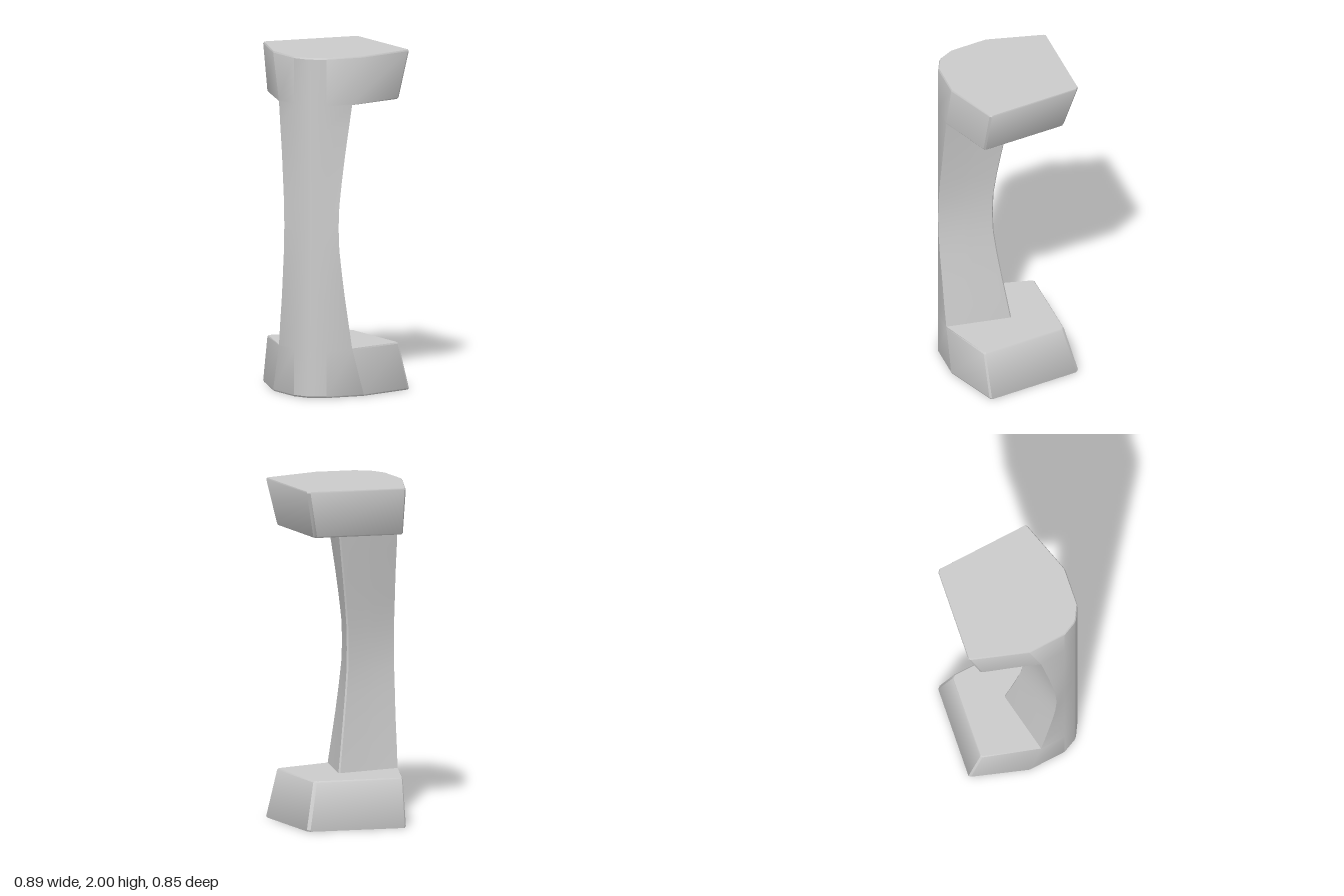
import * as THREE from 'three';
import { toCreasedNormals } from 'three/addons/utils/BufferGeometryUtils.js';

// Full outline (x, z) from its +x half, running front to back
const mirror = half => [...half, ...half.map(([x, z]) => [-x, z]).reverse()];
const mix = (a, b, t) => a + (b - a) * t;
const front = [[0.012, 0.426], [0.1, 0.4]];

// Block outline: t = 0 at the outer end, t = 1 at the inner ledge
const block = t => mirror([
  ...front,
  [mix(0.28, 0.225, t), mix(0.25, 0.302, t)],
  [mix(0.446, 0.399, t), mix(-0.05, 0.006, t)],
  [mix(0.447, 0.4, t), mix(-0.066, -0.008, t)],
  [0.012, mix(-0.428, -0.336, t)],
]);

// Column outline: curved front with a V-shaped back
const column = (x, z, apex) => {
  const along = t => [mix(x, 0.006, t), mix(z, apex, t)];
  return mirror([...front, [x, z], along(0.45), along(0.55), along(1)]);
};

// Lower half of the sections, from the base to mid-height
const shrink = pts => pts.map(([x, z]) => [x * 0.985, z * 0.985]);
const lower = [
  [0, shrink(block(0))],
  [0.009, block(0.03)],
  [0.276, block(0.97)],
  [0.284, shrink(block(1)).map((p, i) => (i > 2 && i < 9 ? p : block(1)[i]))],
  [0.284, column(0.225, 0.302, -0.012)],
  [0.42, column(0.211, 0.32, 0.015)],
  [0.58, column(0.194, 0.339, 0.047)],
  [0.73, column(0.181, 0.357, 0.075)],
  [0.87, column(0.17, 0.37, 0.096)],
  [1, column(0.167, 0.375, 0.101)],
];

// Skin the sections and close both ends
function loft(sections) {
  const pos = [];
  const tri = (...pts) => {
    const [a, b, c] = pts.map(p => new THREE.Vector3(...p));
    if (new THREE.Triangle(a, b, c).getArea() > 1e-9) pos.push(...pts.flat());
  };
  const rings = sections.map(([y, pts]) => pts.map(([x, z]) => [x, y, z]));
  const n = rings[0].length;
  for (let r = 0; r < rings.length - 1; r++) {
    const lo = rings[r], hi = rings[r + 1];
    for (let i = 0; i < n; i++) {
      const j = (i + 1) % n;
      tri(lo[i], lo[j], hi[j]);
      tri(lo[i], hi[j], hi[i]);
    }
  }
  const bottom = rings[0], top = rings[rings.length - 1];
  for (let i = 1; i < n - 1; i++) {
    tri(bottom[0], bottom[i + 1], bottom[i]);
    tri(top[0], top[i], top[i + 1]);
  }
  const geo = new THREE.BufferGeometry();
  geo.setAttribute('position', new THREE.Float32BufferAttribute(pos, 3));
  return toCreasedNormals(geo, 0.6);
}

export function createModel() {
  const group = new THREE.Group();
  group.name = 'bracket';
  // Upper half mirrors the lower half about mid-height
  const upper = lower.slice(0, -1).reverse().map(([y, pts]) => [2 - y, pts]);
  const body = new THREE.Mesh(
    loft([...lower, ...upper]),
    new THREE.MeshStandardMaterial({ color: 0xcccccc })
  );
  body.name = 'bracketBody';
  group.add(body);
  return group;
}
